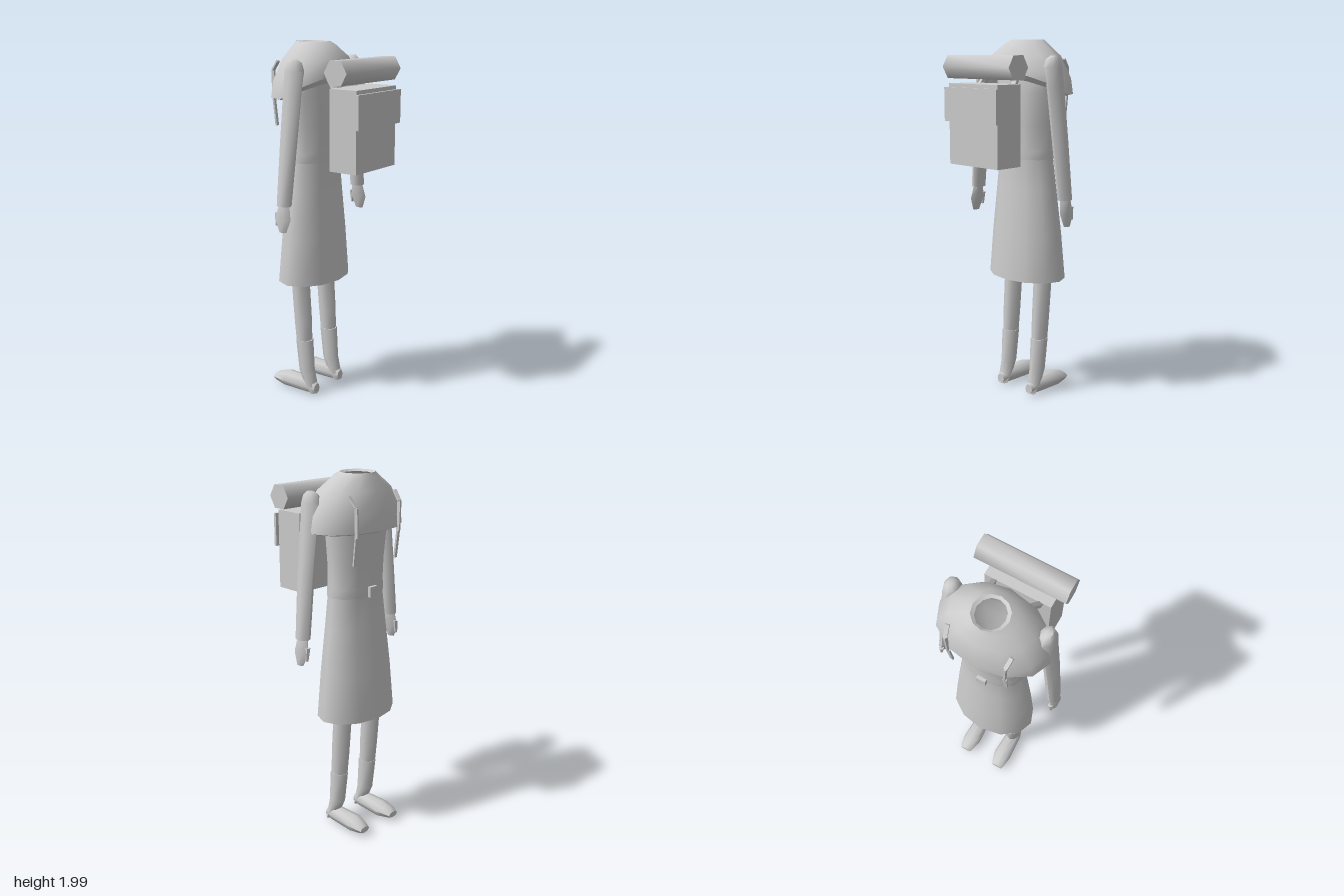
import * as THREE from 'three';
import { toCreasedNormals } from 'three/addons/utils/BufferGeometryUtils.js';

const grey = new THREE.MeshStandardMaterial({ color: 0xcccccc, side: THREE.DoubleSide });
grey.name = 'plainGrey';

// Skin elliptical rings [x, y, z, rx, rz, lift], listed bottom to top.
// lift raises the part of a ring that lies behind its centre.
function loft(rings, sides, capped, crease) {
  const pos = [], idx = [];
  for (const [x, y, z, rx, rz, lift = 0] of rings) {
    for (let i = 0; i < sides; i++) {
      const a = (i / sides) * Math.PI * 2;
      const c = Math.cos(a);
      pos.push(x + rx * Math.sin(a), y + lift * Math.max(0, c), z + rz * c);
    }
  }
  for (let r = 0; r < rings.length - 1; r++) {
    for (let i = 0; i < sides; i++) {
      const a = r * sides + i, b = r * sides + ((i + 1) % sides);
      idx.push(a, b, b + sides, a, b + sides, a + sides);
    }
  }
  if (capped) {
    const n = pos.length / 3, last = (rings.length - 1) * sides;
    pos.push(...rings[0].slice(0, 3), ...rings[rings.length - 1].slice(0, 3));
    for (let i = 0; i < sides; i++) {
      const j = (i + 1) % sides;
      idx.push(n, j, i, n + 1, last + i, last + j);
    }
  }
  const g = new THREE.BufferGeometry();
  g.setAttribute('position', new THREE.Float32BufferAttribute(pos, 3));
  g.setIndex(idx);
  g.computeVertexNormals();
  return crease ? toCreasedNormals(g, crease) : g;
}

// Flat strap pieces joining a list of points
function strap(points, width, thick) {
  const group = new THREE.Group();
  for (let i = 0; i < points.length - 1; i++) {
    const a = new THREE.Vector3(...points[i]), b = new THREE.Vector3(...points[i + 1]);
    const m = new THREE.Mesh(new THREE.BoxGeometry(width, thick, a.distanceTo(b)), grey);
    m.position.copy(a).lerp(b, 0.5);
    m.lookAt(b);
    group.add(m);
  }
  return group;
}

export function createModel() {
  const model = new THREE.Group();
  const add = (name, geo, parent = model) => {
    const m = new THREE.Mesh(geo, grey);
    m.name = name;
    parent.add(m);
    return m;
  };
  const box = (name, w, h, d, x, y, z) =>
    add(name, new THREE.BoxGeometry(w, h, d).translate(x, y, z));

  // Long flared coat, open at hem and neck
  add('coat', loft([
    [0, 0.69, -0.12, 0.245, 0.17],
    [0, 0.95, -0.117, 0.222, 0.15],
    [0, 1.2, -0.113, 0.193, 0.125],
    [0, 1.38, -0.11, 0.17, 0.113],
    [0, 1.55, -0.112, 0.172, 0.12],
    [0, 1.72, -0.115, 0.19, 0.125],
    [0, 1.86, -0.115, 0.2, 0.115],
    [0, 1.94, -0.12, 0.13, 0.1],
  ], 12, false));

  // Belt and buckle
  add('belt', loft([
    [0, 1.365, -0.11, 0.174, 0.117],
    [0, 1.42, -0.11, 0.174, 0.118],
  ], 12, false));
  box('buckle', 0.052, 0.055, 0.018, 0, 1.395, -0.236);

  // Shoulder cape, higher at the back, with tucked hem and turned-in neck
  add('cape', loft([
    [0, 1.71, -0.105, 0.27, 0.165, 0.09],
    [0, 1.718, -0.102, 0.3, 0.188, 0.115],
    [0, 1.8, -0.102, 0.285, 0.182, 0.06],
    [0, 1.915, -0.1, 0.215, 0.16],
    [0, 1.98, -0.108, 0.125, 0.112],
    [0, 2.0, -0.12, 0.092, 0.092],
    [0, 1.99, -0.12, 0.073, 0.078],
  ], 12, false, 0.9));

  for (const s of [-1, 1]) {
    const side = s > 0 ? 'left' : 'right';

    // Sleeve
    add(side + 'Sleeve', loft([
      [0.33 * s, 1.17, -0.058, 0.035, 0.043],
      [0.296 * s, 1.5, -0.05, 0.036, 0.052],
      [0.266 * s, 1.75, -0.047, 0.036, 0.057],
      [0.25 * s, 1.86, -0.045, 0.044, 0.056],
      [0.25 * s, 1.9, -0.045, 0.036, 0.042],
      [0.255 * s, 1.918, -0.045, 0.018, 0.02],
    ], 8, true, 0.9));

    // Hand and thumb
    add(side + 'Hand', loft([
      [0.349 * s, 1.03, -0.055, 0.012, 0.024],
      [0.342 * s, 1.1, -0.058, 0.027, 0.052],
      [0.331 * s, 1.18, -0.058, 0.024, 0.034],
    ], 6, true, 0.9));
    add(side + 'Thumb', loft([
      [0.342 * s, 1.06, -0.1, 0.008, 0.008],
      [0.336 * s, 1.13, -0.1, 0.014, 0.014],
    ], 6, true, 0.9));

    // Leg
    add(side + 'Leg', loft([
      [0.113 * s, 0.3, -0.104, 0.042, 0.046],
      [0.113 * s, 0.45, -0.113, 0.046, 0.052],
      [0.113 * s, 0.69, -0.13, 0.05, 0.052],
      [0.108 * s, 1.0, -0.13, 0.062, 0.056],
    ], 8, false));

    // Boot shaft, narrowing to the heel
    add(side + 'BootShaft', loft([
      [0.113 * s, 0.02, -0.035, 0.034, 0.02],
      [0.113 * s, 0.07, -0.062, 0.04, 0.036],
      [0.113 * s, 0.15, -0.088, 0.04, 0.048],
      [0.113 * s, 0.335, -0.104, 0.046, 0.052],
    ], 8, true, 0.9));

    // Foot, built upright then laid toward the toes
    add(side + 'Foot', loft([
      [0.113 * s, 0.018, 0.045, 0.026, 0.03],
      [0.113 * s, 0.07, 0.058, 0.045, 0.046],
      [0.113 * s, 0.23, 0.057, 0.054, 0.047],
      [0.117 * s, 0.29, 0.054, 0.042, 0.03],
      [0.117 * s, 0.313, 0.05, 0.034, 0.018],
    ], 8, true, 0.9).rotateX(-Math.PI / 2));

    // Pack straps: over the shoulder and hanging on the chest
    const back = strap([[0.103 * s, 1.86, 0.04], [0.125 * s, 1.765, 0.12]], 0.025, 0.022);
    back.name = side + 'ShoulderStrap';
    const chest = strap([
      [0.165 * s, 1.9, -0.225], [0.156 * s, 1.85, -0.268],
      [0.152 * s, 1.7, -0.268], [0.15 * s, 1.555, -0.252],
    ], 0.02, 0.01);
    chest.name = side + 'ChestStrap';
    model.add(back, chest);
  }

  // Backpack with flap and rolled bedding
  box('backpack', 0.36, 0.425, 0.168, 0, 1.563, 0.209);
  box('packFlap', 0.386, 0.177, 0.015, 0, 1.668, 0.308);
  const roll = new THREE.CylinderGeometry(0.07, 0.07, 0.488, 6).rotateZ(Math.PI / 2);
  add('bedroll', toCreasedNormals(roll, 1.2)).position.set(0, 1.86, 0.209);

  return model;
}
